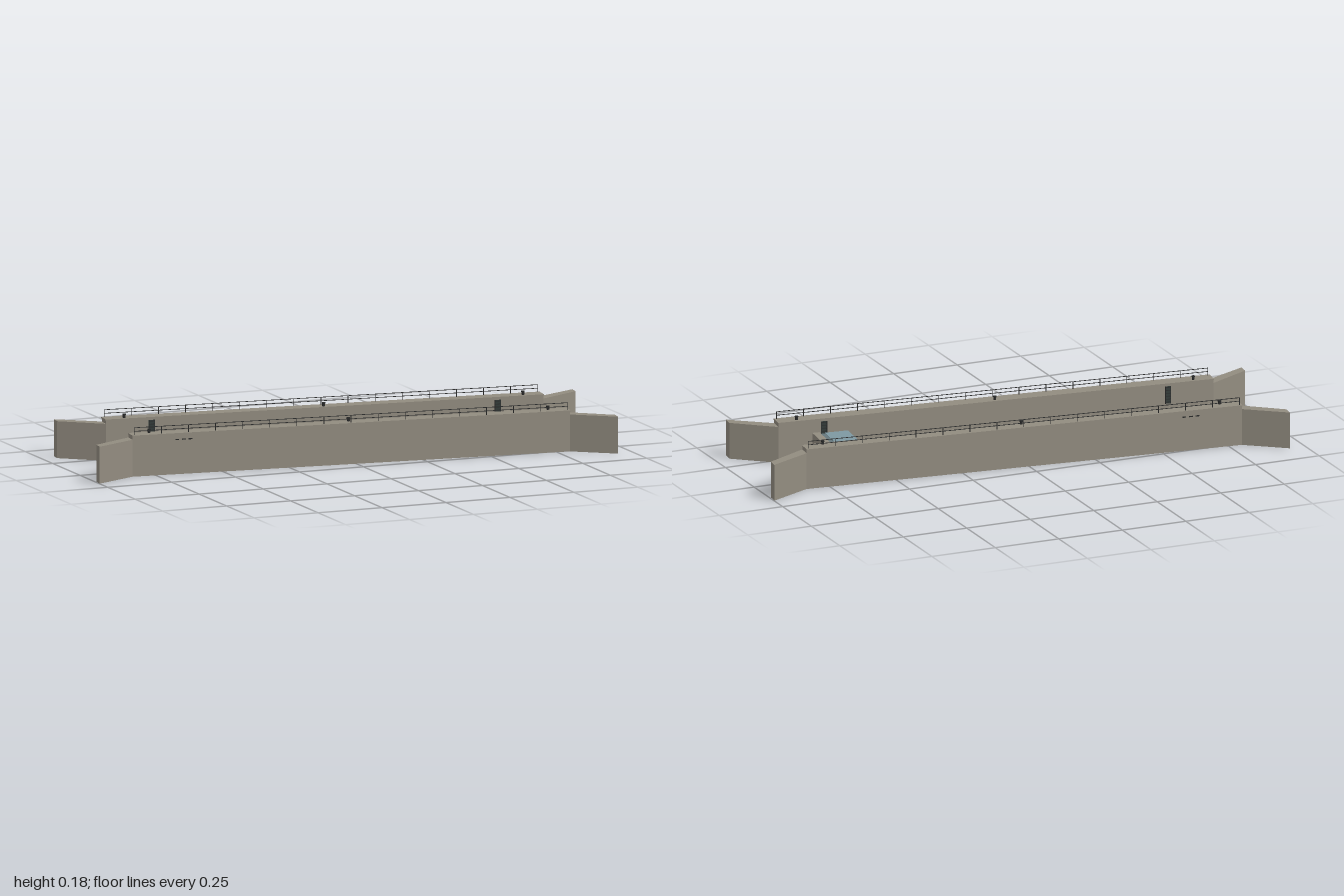
import * as THREE from 'three';

const mat = (name, color) => Object.assign(new THREE.MeshStandardMaterial({ color }), { name });

export function createModel() {
  const concrete = mat('concrete', 0x928c80);
  const iron = mat('dark iron', 0x2a2b2b);
  const recess = mat('ladder recess', 0x333c3a);
  const water = mat('water', 0x7d98a2);
  const steel = mat('gate seal', 0x66777c);

  const model = new THREE.Group();
  model.name = 'canalLock';
  // The whole lock lies turned six degrees in plan
  const lock = new THREE.Group();
  lock.name = 'lockChamber';
  lock.rotation.y = -THREE.MathUtils.degToRad(6);
  model.add(lock);

  const add = (parent, name, geometry, material, x = 0, y = 0, z = 0) => {
    const mesh = new THREE.Mesh(geometry, material);
    mesh.name = name;
    mesh.position.set(x, y, z);
    parent.add(mesh);
    return mesh;
  };
  // Box given by its ranges
  const block = (parent, name, material, [x0, x1], [y0, y1], [z0, z1]) =>
    add(parent, name, new THREE.BoxGeometry(x1 - x0, y1 - y0, Math.abs(z1 - z0)), material,
      (x0 + x1) / 2, (y0 + y1) / 2, (z0 + z1) / 2);

  const L = 0.823, IN = 0.137, OUT = 0.185, TOP = 0.151, RAIL_Z = 0.182;

  for (const s of [1, -1]) {
    const wall = new THREE.Group();
    wall.name = s > 0 ? 'frontWall' : 'backWall';
    lock.add(wall);
    block(wall, 'wallBody', concrete, [-L, L], [0, 0.146], [s * IN, s * OUT]);
    block(wall, 'coping', concrete, [-L - 0.001, L + 0.001], [0.146, TOP], [s * 0.135, s * 0.19]);

    // Splayed wing walls at both ends
    for (const e of [1, -1]) {
      const plan = new THREE.Shape([[L, IN], [0.975, 0.238], [0.975, 0.278], [L, OUT]]
        .map(([u, v]) => new THREE.Vector2(e * u, -s * v)));
      const wing = new THREE.ExtrudeGeometry(plan, { depth: 0.135, bevelEnabled: false });
      add(wall, 'wingWall', wing.rotateX(-Math.PI / 2), concrete);

      // Ladder set in the chamber face
      const lx = e * 0.65, face = s * (IN - 0.001);
      block(wall, 'ladderRecess', recess, [lx - 0.012, lx + 0.012], [0.075, 0.14], [face, s * IN]);
      for (const d of [-0.01, 0.01])
        block(wall, 'ladderStile', iron, [lx + d - 0.001, lx + d + 0.001], [0.075, 0.14], [face, face - s * 0.002]);
      for (let i = 0; i < 6; i++)
        block(wall, 'ladderRung', iron, [lx - 0.01, lx + 0.01], [0.08 + i * 0.011, 0.082 + i * 0.011], [face, face - s * 0.002]);
    }

    // Mooring bollards
    for (const x of [-0.75, 0, 0.75]) {
      add(wall, 'bollard', new THREE.CylinderGeometry(0.005, 0.005, 0.011, 12), iron, x, TOP + 0.0055, s * 0.151);
      add(wall, 'bollardHead', new THREE.CylinderGeometry(0.0065, 0.0065, 0.004, 12), iron, x, TOP + 0.012, s * 0.151);
    }

    // Guard rail along the outer edge
    for (let i = 0; i <= 16; i++)
      add(wall, 'railPost', new THREE.BoxGeometry(0.002, 0.027, 0.002), iron,
        -0.815 + i * 1.63 / 16, TOP + 0.0135, s * RAIL_Z);
    for (const y of [0.165, 0.178])
      add(wall, 'handRail', new THREE.BoxGeometry(1.632, 0.002, 0.002), iron, 0, y, s * RAIL_Z);

    // Small marker strips on the outer face
    for (const d of [-0.025, 0, 0.025])
      block(wall, 'markerStrip', iron, [-0.63 + d - 0.007, -0.63 + d + 0.007], [0.125, 0.129], [s * OUT, s * (OUT + 0.002)]);
  }

  // Gate across the chamber, its seal strip and the water behind it
  block(lock, 'gate', concrete, [0.668, 0.695], [0, 0.1], [-IN, IN]);
  block(lock, 'gateSeal', steel, [0.648, 0.668], [0.086, 0.094], [-IN, IN]);
  block(lock, 'waterSheet', water, [0.56, 0.648], [0.09, 0.096], [-IN, IN]);

  return model;
}
